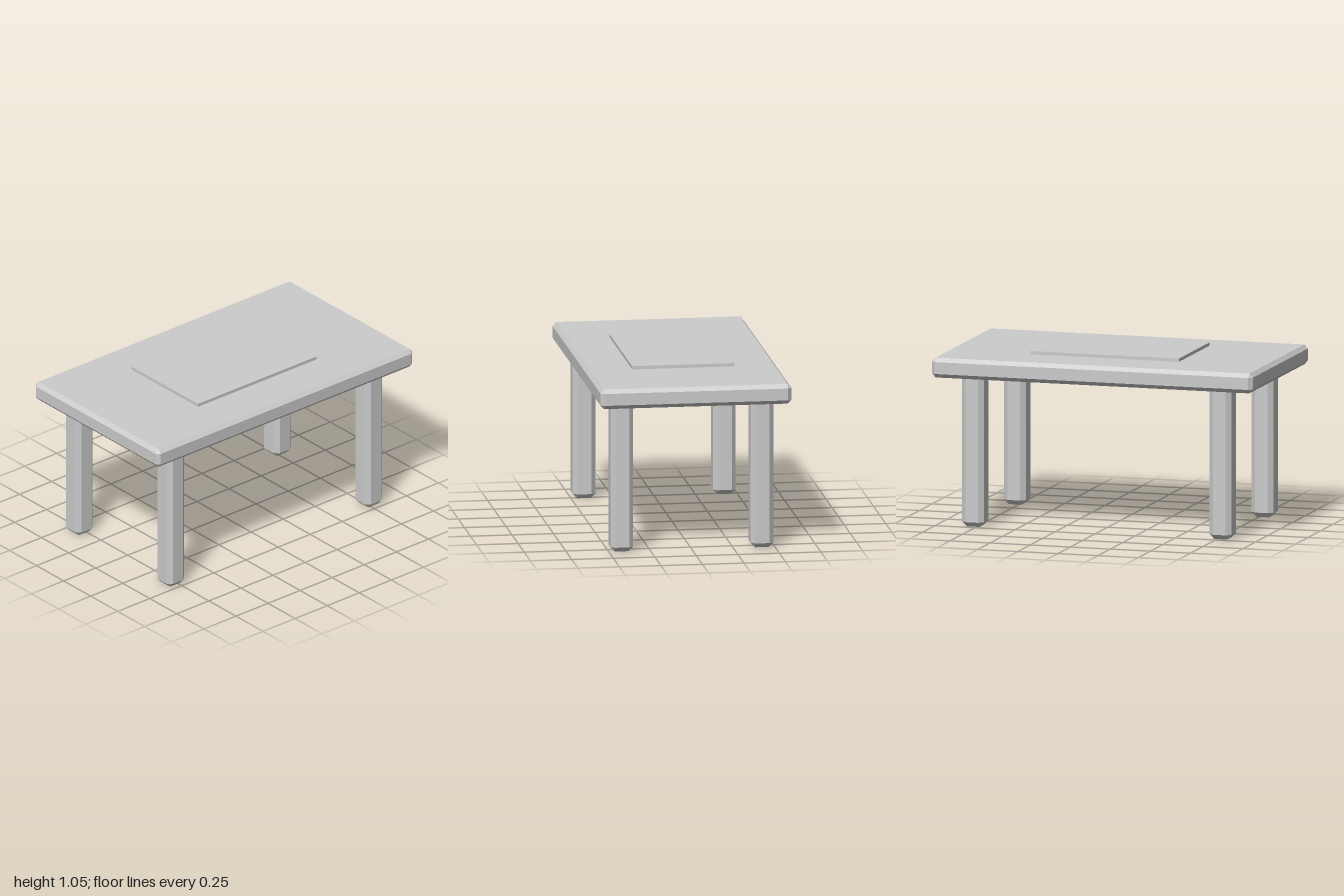
import * as THREE from 'three';
import { ConvexGeometry } from 'three/addons/geometries/ConvexGeometry.js';

const material = new THREE.MeshStandardMaterial({ color: 0xcccccc, flatShading: true });

// Box with cut edges; each corner becomes a small triangle.
// With bevelTop false the top end is left square to the sides.
function chamferedBox(w, h, d, bevel, bevelTop = true) {
  const [bx, by, bz] = bevel;
  const points = [];
  for (const sx of [-1, 1]) for (const sy of [-1, 1]) for (const sz of [-1, 1]) {
    const x = sx * w / 2, y = sy * h / 2, z = sz * d / 2;
    const ix = x - sx * bx, iz = z - sz * bz;
    const cut = sy < 0 || bevelTop;
    const iy = cut ? y - sy * by : y;
    points.push(new THREE.Vector3(x, iy, iz), new THREE.Vector3(ix, iy, z));
    if (cut) points.push(new THREE.Vector3(ix, y, iz));
  }
  return new ConvexGeometry(points);
}

function addPart(group, name, geometry, x, y, z) {
  const mesh = new THREE.Mesh(geometry, material);
  mesh.name = name;
  mesh.position.set(x, y, z);
  group.add(mesh);
}

export function createModel() {
  const table = new THREE.Group();
  table.name = 'table';

  // Thick slab top
  addPart(table, 'tabletop', chamferedBox(2, 0.12, 1.15, [0.022, 0.024, 0.022]), 0, 0.965, 0);

  // Thin panel resting just above the top
  addPart(table, 'centrePanel', new THREE.BoxGeometry(0.926, 0.02, 0.615), 0, 1.041, 0);

  // Four legs with cut edges and feet
  const legHeight = 0.903;
  const leg = chamferedBox(0.137, legHeight, 0.138, [0.029, 0.029, 0.027], false);
  for (const [side, sx] of [['Left', 1], ['Right', -1]]) {
    for (const [end, sz] of [['front', 1], ['back', -1]]) {
      addPart(table, `${end}${side}Leg`, leg, sx * 0.772, legHeight / 2, sz * 0.422);
    }
  }
  return table;
}
